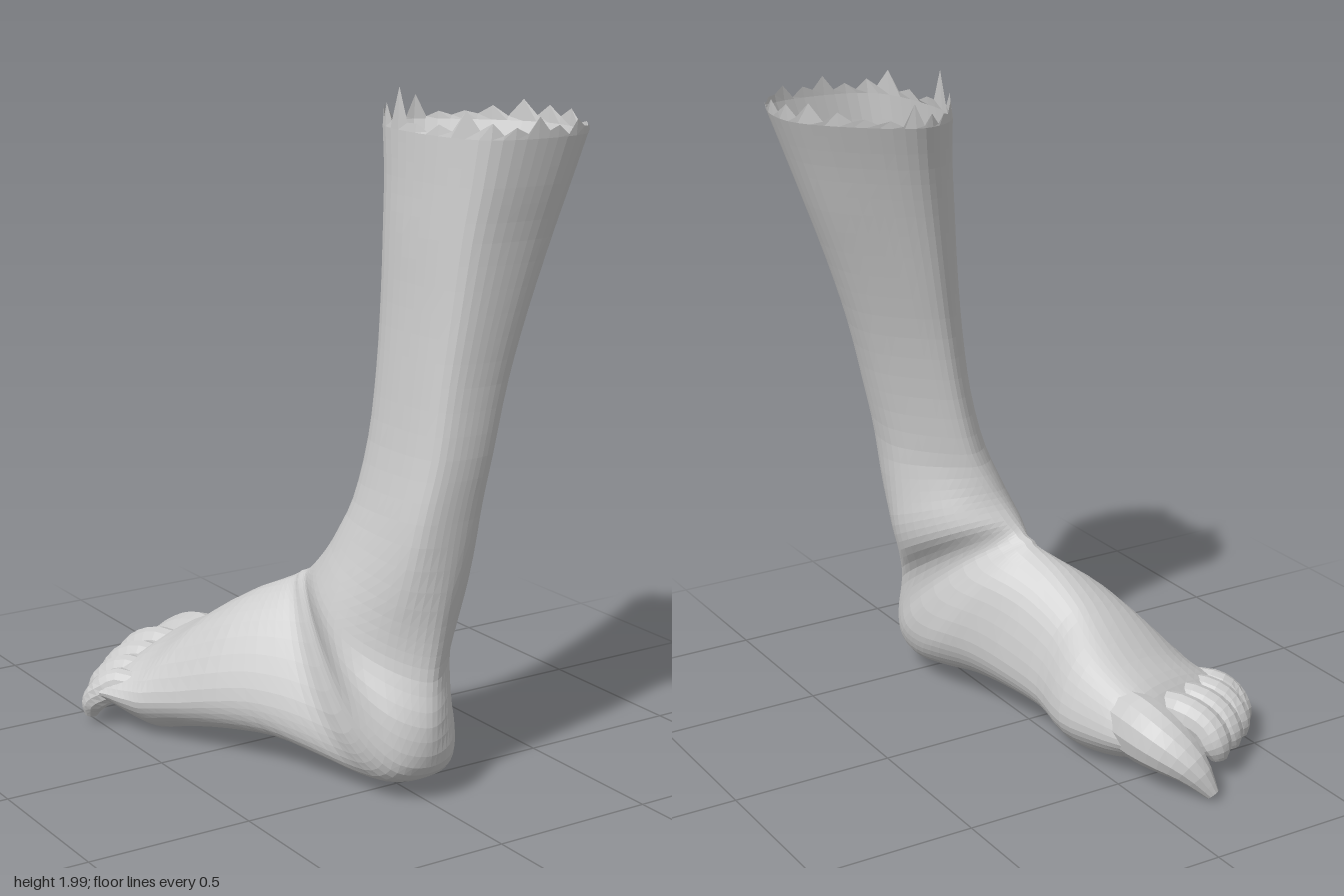
import * as THREE from 'three';

const V = (x, y, z) => new THREE.Vector3(x, y, z);
const mix = THREE.MathUtils.lerp;
const { smoothstep } = THREE.MathUtils;

// Catmull-Rom resampling of rows of numbers
function sampleRows(rows, n) {
  const out = [];
  const last = rows.length - 1;
  for (let k = 0; k <= n; k++) {
    const u = (k / n) * last;
    const i = Math.min(Math.floor(u), last - 1);
    const t = u - i;
    const [a, b, c, d] = [i - 1, i, i + 1, i + 2].map((q) => rows[Math.max(0, Math.min(last, q))]);
    out.push(b.map((v, j) => 0.5 * (2 * v + (c[j] - a[j]) * t
      + (2 * a[j] - 5 * v + 4 * c[j] - d[j]) * t * t
      + (3 * v - a[j] - 3 * c[j] + d[j]) * t * t * t)));
  }
  return out;
}

// Skin closed rings into a faceted surface, closing the far end
function loft(name, rings, side = THREE.FrontSide) {
  const end = rings[rings.length - 1];
  const centre = end.reduce((s, p) => s.add(p), V(0, 0, 0)).divideScalar(end.length);
  const all = [...rings, end.map(() => centre)];
  const n = end.length;
  const index = [];
  for (let i = 0; i < all.length - 1; i++) {
    for (let j = 0; j < n; j++) {
      const k = (j + 1) % n;
      const a = i * n + j, b = i * n + k, c = b + n, d = a + n;
      index.push(a, d, b, b, d, c);
    }
  }
  let geo = new THREE.BufferGeometry().setFromPoints(all.flat());
  geo.setIndex(index);
  geo = geo.toNonIndexed();
  geo.computeVertexNormals();
  const mesh = new THREE.Mesh(geo, new THREE.MeshStandardMaterial({ color: 0xcccccc, flatShading: true, side }));
  mesh.name = name;
  return mesh;
}

// Shin: [y, front z, back z, lateral x, medial x]
const shin = [
  [1.88, 0.14, 0.73, 0.085, 0.55],
  [1.75, 0.175, 0.715, 0.075, 0.5],
  [1.6, 0.205, 0.695, 0.06, 0.445],
  [1.4, 0.235, 0.68, 0.043, 0.37],
  [1.2, 0.26, 0.67, 0.02, 0.305],
  [1.0, 0.266, 0.67, -0.008, 0.255],
  [0.82, 0.25, 0.66, -0.05, 0.222],
];

// Sections fanning round the ankle, then along the foot:
// [front z, front y, back z, back y, lateral x, medial x, ridge x, widest height, corner inset]
const ankleAndFoot = [
  [0.22, 0.72, 0.65, 0.62, -0.1, 0.22, 0.01, 0.5, 0.16],
  [0.195, 0.66, 0.64, 0.47, -0.14, 0.222, -0.02, 0.5, 0.2],
  [0.165, 0.615, 0.645, 0.36, -0.165, 0.205, -0.04, 0.48, 0.22],
  [0.14, 0.585, 0.68, 0.24, -0.17, 0.16, -0.055, 0.4, 0.2],
  [0.12, 0.57, 0.672, 0.12, -0.165, 0.158, -0.06, 0.28, 0.2],
  [0.1, 0.56, 0.61, 0.06, -0.17, 0.17, -0.07, 0.26, 0.18],
  [0.085, 0.55, 0.5, 0.042, -0.18, 0.17, -0.07, 0.28, 0.15],
  [0.06, 0.535, 0.36, 0.06, -0.23, 0.16, -0.08, 0.3, 0.14],
  [0.02, 0.515, 0.2, 0.088, -0.295, 0.125, -0.09, 0.28, 0.13],
  [-0.04, 0.485, 0.04, 0.08, -0.37, 0.08, -0.1, 0.25, 0.13],
  [-0.14, 0.425, -0.1, 0.055, -0.43, 0.043, -0.11, 0.25, 0.13],
  [-0.23, 0.365, -0.23, 0.015, -0.47, 0.06, -0.1, 0.33, 0.14],
  [-0.32, 0.305, -0.32, 0.012, -0.49, 0.028, -0.1, 0.4, 0.14],
  [-0.4, 0.255, -0.4, 0.04, -0.515, -0.01, -0.12, 0.42, 0.14],
  [-0.45, 0.205, -0.45, 0.065, -0.53, -0.035, -0.16, 0.45, 0.15],
  [-0.48, 0.175, -0.48, 0.085, -0.5, -0.06, -0.2, 0.5, 0.2],
];

// One continuous skin from the torn rim down round the heel to the toe roots
function makeLegAndFoot() {
  const n = 44;
  const rows = [
    ...shin.map(([y, zf, zb, L, R]) => [zf, y, zb, y, L, R, mix(L, R, 0.37), 0.5, 0.12]),
    ...ankleAndFoot,
  ];
  const section = ([zf, yf, zb, yb, L, R, ridge, h, inset]) => {
    const w = R - L, mid = (L + R) / 2;
    const slant = 0.4 * smoothstep(-zb, 0.1, 0.42);
    // The shin has a square back and a flat face sloping off its ridge
    const shinness = smoothstep(yb, 0.35, 0.8);
    const low = 0.6 * h * h - 0.07 * shinness;
    const high = mix(h, 1, 0.74);
    const outline = new THREE.CatmullRomCurve3([
      [mid, 0], [R - inset * w, low], [R, h], [mix(ridge, R, 0.64 - 0.1 * shinness), high - 0.04 * shinness],
      [ridge, 1], [mix(ridge, L, 0.6 + 0.14 * shinness), high + 0.01 * shinness], [L, h], [L + inset * w, low],
    ].map(([x, t]) => V(x, mix(yb, yf, t), mix(zb, zf, t) - slant * (x - mid))), true);
    return Array.from({ length: n }, (_, j) => outline.getPoint(j / n));
  };
  const rings = sampleRows(rows, 66).map(section);
  // Uneven torn edge, with one tall splinter
  const rim = rings[0].map((p, j) => {
    const rnd = Math.abs(Math.sin(j * 12.99 + 1) * 43.7) % 1;
    const y = j === 31 ? 2 : j % 2 ? 1.9 + 0.06 * rnd : 1.885 + 0.02 * rnd;
    return V(p.x + 0.004, y, p.z);
  });
  return loft('legAndFoot', [rim, ...rings], THREE.DoubleSide);
}

// Toe rows are [x, y, z, half width, half height]
function makeToe(name, rows) {
  const s = sampleRows(rows, 12);
  const rings = s.map(([x, y, z, rx, ry], i) => {
    const a = s[Math.max(0, i - 1)], b = s[Math.min(s.length - 1, i + 1)];
    const dir = V(b[0] - a[0], b[1] - a[1], b[2] - a[2]).normalize();
    const across = dir.clone().cross(V(0, 1, 0)).normalize();
    const up = across.clone().cross(dir);
    return Array.from({ length: 12 }, (_, j) => {
      const q = (j / 12) * Math.PI * 2;
      return V(x, y, z).addScaledVector(across, rx * Math.cos(q)).addScaledVector(up, ry * Math.sin(q));
    });
  });
  return loft(name, rings);
}

// Small toe: rises out of the foot, then curls down at the tip
function smallToe(name, x, z, r, height, length) {
  return makeToe(name, [
    [x + 0.115, height, z + length, r * 0.7, r * 0.8],
    [x + 0.06, height + 0.005, z + length * 0.55, r, r * 1.1],
    [x + 0.02, height - 0.025, z + 0.085, r, r * 1.05],
    [x + 0.005, height - 0.07, z + 0.05, r * 0.95, r * 0.85],
    [x, height - 0.11, z + 0.04, r * 0.5, r * 0.45],
  ]);
}

export function createModel() {
  const model = new THREE.Group();
  model.name = 'footAndLowerLeg';
  model.add(makeLegAndFoot());
  // Toes
  model.add(makeToe('bigToe', [
    [-0.08, 0.17, -0.34, 0.075, 0.085],
    [-0.085, 0.165, -0.48, 0.085, 0.1],
    [-0.105, 0.145, -0.58, 0.082, 0.085],
    [-0.143, 0.1, -0.665, 0.06, 0.055],
    [-0.182, 0.025, -0.722, 0.02, 0.02],
  ]));
  model.add(
    smallToe('secondToe', -0.285, -0.65, 0.055, 0.175, 0.29),
    smallToe('thirdToe', -0.375, -0.59, 0.052, 0.165, 0.28),
    smallToe('fourthToe', -0.455, -0.525, 0.049, 0.153, 0.26),
    smallToe('fifthToe', -0.518, -0.455, 0.044, 0.143, 0.23),
  );
  return model;
}
